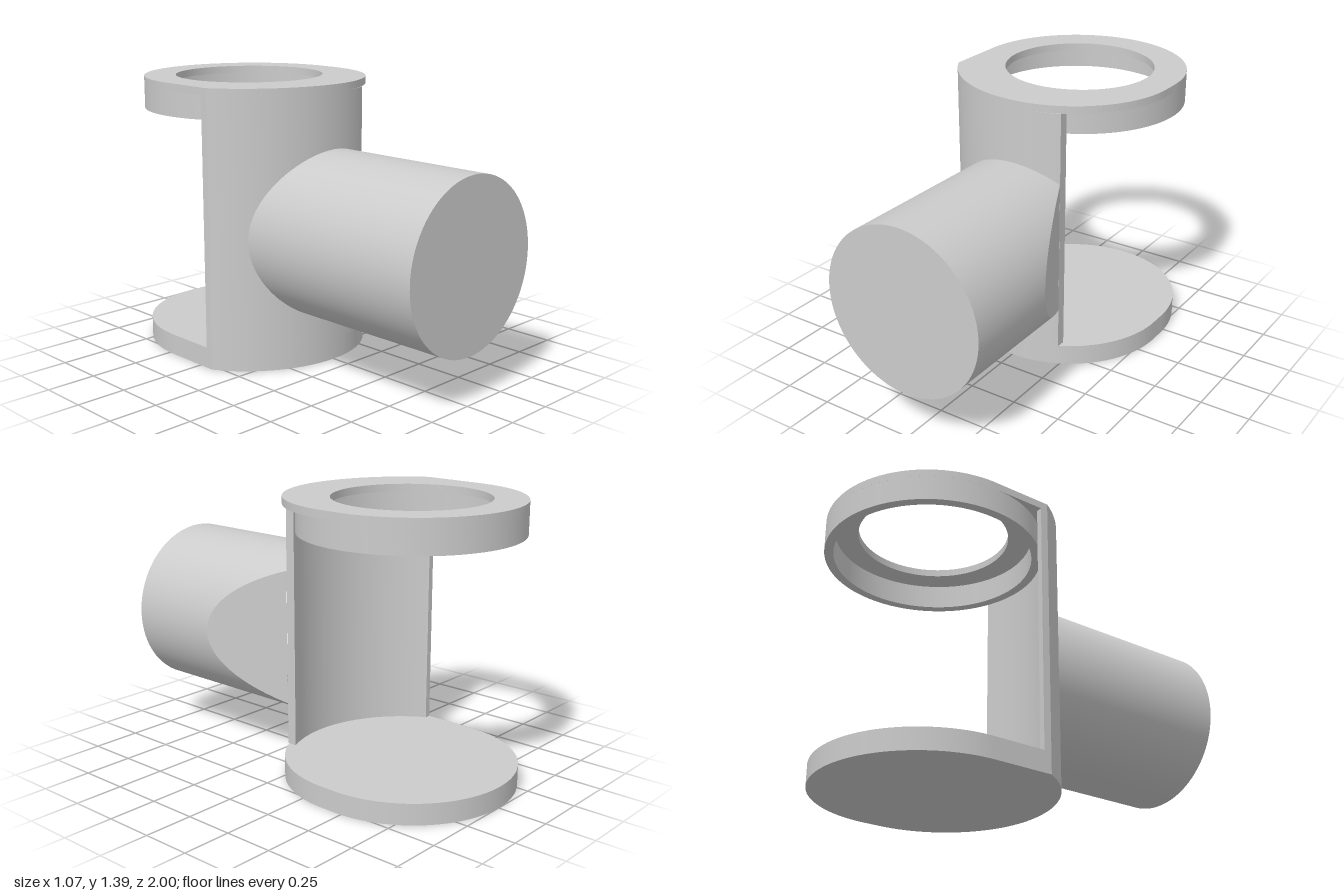
import * as THREE from 'three';
import { toCreasedNormals } from 'three/addons/utils/BufferGeometryUtils.js';

const CY = 0.465;      // holder axis lies at z = -CY (plan shapes use y = -z)
const W = 0.535;       // half width of the holder
const R_OUT = 0.615;   // outer radius of the front wall
const R_IN = 0.57;     // inner radius of the front wall
const CUT = 0.245;     // x where the wall stops
const TUBE_R = 0.418;
const TUBE_Y = 0.655;

export function createModel() {
  const model = new THREE.Group();
  const material = new THREE.MeshStandardMaterial({ color: 0xcccccc });

  const add = (name, geometry, mat = material) => {
    const mesh = new THREE.Mesh(geometry, mat);
    mesh.name = name;
    model.add(mesh);
    return mesh;
  };

  // Extrudes a plan shape upwards from y0 to y1
  const slab = (name, shape, y0, y1) => {
    const geo = new THREE.ExtrudeGeometry(shape, { depth: y1 - y0, bevelEnabled: false, curveSegments: 64 });
    geo.rotateX(-Math.PI / 2).translate(0, y0, 0);
    return add(name, toCreasedNormals(geo, 0.4));
  };

  const circleHole = (r) => new THREE.Path().absarc(0, CY, r, 0, Math.PI * 2, true);
  const onCircle = (r, x) => CY - Math.sqrt(r * r - x * x);
  const angleAt = (r, x) => -Math.acos(x / r);

  // Plan outline: round back, sharp corner on one side, blended on the other
  const outline = () => {
    const s = new THREE.Shape();
    s.absarc(0, CY, W, 0, Math.PI, false);
    s.lineTo(-W, onCircle(R_OUT, -W));
    s.absarc(0, CY, R_OUT, angleAt(R_OUT, -W), -1.512, false);
    s.absarc(0.005, 0.38, 0.53, -1.512, 0, false);
    s.closePath();
    return s;
  };

  // Floor, top plate with its round opening, and the rim hanging below it
  slab('floor', outline(), 0, 0.105);
  const plate = outline();
  plate.holes.push(circleHole(0.375));
  slab('topPlate', plate, 1.35, 1.387);

  const rim = new THREE.Shape().absarc(0, CY, W, 0, Math.PI * 2, false);
  rim.holes.push(circleHole(0.49));
  slab('rim', rim, 1.225, 1.35);

  // Thin curved front wall
  const endX = -Math.sqrt(R_IN * R_IN - (CY - 0.2) ** 2);
  const wall = new THREE.Shape();
  wall.moveTo(-W, 0.2);
  wall.lineTo(-W, onCircle(R_OUT, -W));
  wall.absarc(0, CY, R_OUT, angleAt(R_OUT, -W), angleAt(R_OUT, CUT), false);
  wall.lineTo(CUT, onCircle(R_IN, CUT));
  wall.absarc(0, CY, R_IN, angleAt(R_IN, CUT), angleAt(R_IN, endX), true);
  wall.closePath();
  slab('frontWall', wall, 0.105, 1.35);

  // Horizontal mount whose back follows the wall, then a slanted flat
  const backZ = (x) => x < CUT - 0.001
    ? -onCircle(R_OUT - 0.015, x)
    : 0.1 + (x - CUT) * 0.39 / (TUBE_R - CUT);

  const tube = new THREE.CylinderGeometry(TUBE_R, TUBE_R, 1, 128, 1, true);
  tube.rotateX(Math.PI / 2);
  const p = tube.attributes.position;
  for (let i = 0; i < p.count; i++) p.setZ(i, p.getZ(i) > 0 ? 1 : backZ(p.getX(i)));
  add('mountTube', tube).position.y = TUBE_Y;

  add('mountEnd', new THREE.CircleGeometry(TUBE_R, 128)).position.set(0, TUBE_Y, 1);

  const a = Math.acos(CUT / TUBE_R);
  const flat = new THREE.ShapeGeometry(new THREE.Shape().absarc(0, 0, TUBE_R, -a, a, false), 48);
  const q = flat.attributes.position;
  for (let i = 0; i < q.count; i++) q.setZ(i, backZ(q.getX(i)));
  flat.computeVertexNormals();
  const thin = new THREE.MeshStandardMaterial({ color: 0xcccccc, side: THREE.DoubleSide });
  add('mountSlant', flat, thin).position.y = TUBE_Y;

  return model;
}
